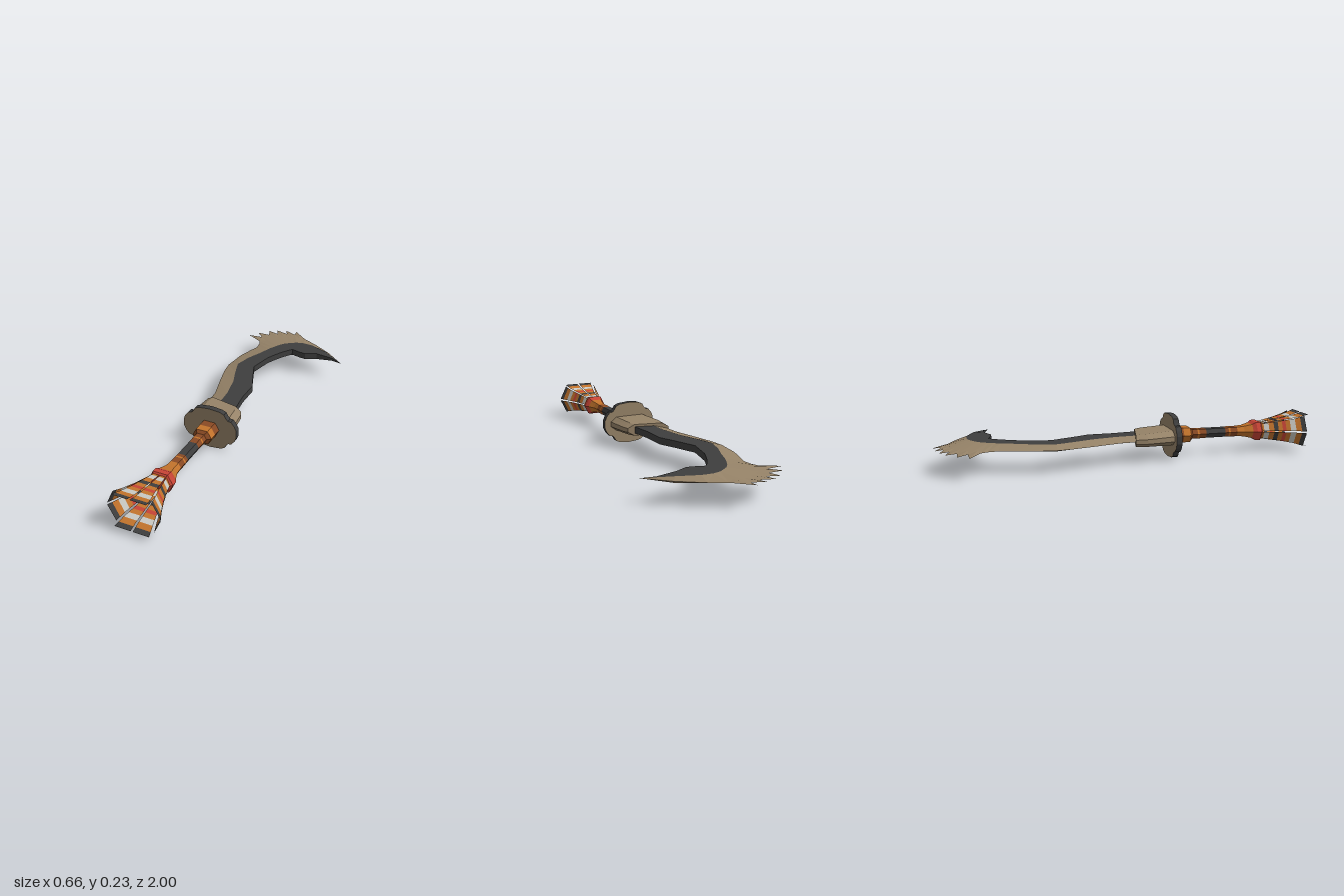
import * as THREE from 'three';

const mat = (name, color, extra = {}) => {
  const m = new THREE.MeshStandardMaterial({ color, flatShading: true, ...extra });
  m.name = name;
  return m;
};

// Closed solid through matching rings of [x, y, z] points, wound outward by its signed volume
function loft(rings) {
  const tris = [], n = rings[0].length;
  for (let i = 0; i + 1 < rings.length; i++) {
    for (let j = 0; j < n; j++) {
      const k = (j + 1) % n, a = rings[i], b = rings[i + 1];
      tris.push([a[j], a[k], b[k]], [a[j], b[k], b[j]]);
    }
  }
  const first = rings[0], last = rings[rings.length - 1];
  for (let j = 1; j + 1 < n; j++) {
    tris.push([first[0], first[j + 1], first[j]], [last[0], last[j], last[j + 1]]);
  }
  const o = new THREE.Vector3(...first[0]);
  const rel = (p) => new THREE.Vector3(...p).sub(o);
  let volume = 0;
  for (const [a, b, c] of tris) volume += rel(a).dot(rel(b).cross(rel(c)));
  return fromTriangles(volume < 0 ? tris.map(([a, b, c]) => [a, c, b]) : tris);
}

function fromTriangles(tris) {
  const g = new THREE.BufferGeometry();
  g.setAttribute('position', new THREE.Float32BufferAttribute(tris.flat(2), 3));
  g.computeVertexNormals();
  return g;
}

const mix = (a, b, t) => a.map((v, i) => v + (b[i] - v) * t);

export function createModel() {
  const bone = mat('bone', 0x968368);
  const dark = mat('charcoal', 0x3e3e3e);
  const brown = mat('brown', 0x8a4a24);
  const orange = mat('orange', 0xc4742c);
  const red = mat('red', 0xc84536);
  const sheet = { side: THREE.DoubleSide };
  const cloth = {
    orange: mat('orange cloth', 0xc4742c, sheet), white: mat('white cloth', 0xcacac4, sheet),
    dark: mat('charcoal cloth', 0x3e3e3e, sheet), red: mat('red cloth', 0xc84536, sheet),
  };

  const model = new THREE.Group();
  model.position.y = 0.116;
  const add = (parent, name, geometry, material) => {
    const mesh = new THREE.Mesh(geometry, material);
    mesh.name = name;
    parent.add(mesh);
  };

  // Blade ribs: inner edge x z, colour border x z, spine x z
  const ribs = [
    [-.01, .1, -.115, .1, -.185, .1], [-.03, -.08, -.125, -.08, -.2, -.08],
    [-.03, -.21, -.15, -.21, -.235, -.21], [-.065, -.29, -.185, -.31, -.265, -.33],
    [-.115, -.42, -.215, -.41, -.275, -.41], [-.085, -.555, -.19, -.51, -.26, -.545],
    [-.065, -.6, -.15, -.6, -.235, -.63], [-.04, -.65, -.125, -.67, -.215, -.69],
    [-.015, -.69, -.11, -.7, -.22, -.74], [0, -.71, -.095, -.73, -.235, -.775],
    [.01, -.72, -.08, -.755, -.245, -.835], [.02, -.72, -.06, -.78, -.215, -.885],
    [.03, -.715, -.045, -.79, -.17, -.92], [.05, -.71, -.025, -.805, -.115, -.945],
    [.07, -.705, 0, -.82, -.065, -.955], [.1, -.7, .04, -.83, .02, -.92],
    [.165, -.73, .1, -.825, .1, -.88], [.265, -.73, .2, -.785, .22, -.8],
    [.33, -.7, .33, -.7, .33, -.7],
  ];
  const half = (x) => 0.018 * Math.min(1, Math.max(0, (0.33 - x) / 0.15));
  const blade = new THREE.Group();
  blade.name = 'blade';
  model.add(blade);
  add(blade, 'bladeCore', loft(ribs.map(([ix, iz, mx, mz]) => [
    [ix, half(ix), iz], [mx, half(mx), mz], [mx, -half(mx), mz], [ix, -half(ix), iz]])), dark);
  add(blade, 'bladeSpine', loft(ribs.map(([, , mx, mz, ox, oz]) => [
    [mx, half(mx), mz], [ox, 0, oz], [mx, -half(mx), mz]])), bone);

  // Swept teeth on the spine, one between each pair of neighbouring ribs
  const tips = [[-.33, -.83], [-.29, -.885], [-.235, -.94], [-.19, -.967], [-.135, -.987], [-.07, -1]];
  tips.forEach(([tx, tz], i) => {
    const p = ribs[9 + i], q = ribs[10 + i];
    const a = [p[4], 0, p[5]], b = [q[4], 0, q[5]];
    const c = mix(mix(a, b, 0.5), [(p[2] + q[2]) / 2, 0, (p[3] + q[3]) / 2], 0.3);
    const base = [a, [c[0], 0.006, c[2]], b, [c[0], -0.006, c[2]]];
    add(blade, 'spineTooth', loft([base, base.map(() => [tx, 0, tz])]), bone);
  });

  // Sleeve holding the blade root, with a slanted mouth
  const sleeve = (x0, x1, zl, zr, h) => {
    const bevel = 0.035;
    return [[x0, .35], [x0 + bevel, 1], [x1 - bevel, 1], [x1, .35],
      [x1, -.35], [x1 - bevel, -1], [x0 + bevel, -1], [x0, -.35]]
      .map(([x, y]) => [x, y * h, zl + (zr - zl) * (x - x0) / (x1 - x0)]);
  };
  add(model, 'sleeve', loft([sleeve(-.2, .022, .005, .055, .031),
    sleeve(-.205, .034, .07, .085, .034), sleeve(-.18, .05, .225, .225, .039)]), bone);

  // Lobed guard plate with a dark rim
  const hilt = new THREE.Group();
  hilt.name = 'hilt';
  hilt.position.x = -0.065;
  model.add(hilt);
  const quarter = [[.15, .02], [.139, .045], [.121, .067], [.104, .069], [.093, .08], [.082, .1], [.059, .11], [0, .116]];
  const right = [...quarter, ...quarter.slice(0, -1).reverse().map(([x, y]) => [-x, y])];
  const outline = [...right, ...right.map(([x, y]) => [-x, -y])];
  const guard = new THREE.ExtrudeGeometry(
    new THREE.Shape(outline.map(([x, y]) => new THREE.Vector2(x, y))), { depth: 0.03, bevelEnabled: false });
  guard.translate(0, 0, 0.22);
  add(hilt, 'guard', guard, [bone, dark]);

  // Six-sided handle: each step is z, half width, half height, then the material up to the next step
  const hex = (z, w, h) => [[w, 0], [.6 * w, h], [-.6 * w, h], [-w, 0], [-.6 * w, -h], [.6 * w, -h]]
    .map(([x, y]) => [x, y, z]);
  const steps = [
    [.25, .053, .04, brown], [.295, .053, .04, orange], [.335, .053, .038, brown],
    [.35, .033, .025, brown], [.38, .033, .025, orange], [.39, .033, .025, brown],
    [.43, .032, .024, dark], [.54, .032, .024, brown], [.56, .033, .025, orange],
    [.57, .033, .025, brown], [.61, .033, .025, orange], [.65, .036, .028, orange],
    [.695, .053, .038, red], [.715, .064, .05, red], [.74, .064, .05, red], [.752, .05, .036, null],
  ];
  for (let i = 0; i + 1 < steps.length; i++) {
    const [z0, w0, h0, m] = steps[i], [z1, w1, h1] = steps[i + 1];
    add(hilt, m === red ? 'pommelRing' : 'grip', loft([hex(z0, w0, h0), hex(z1, w1, h1)]), m);
  }

  // Flared skirt of eight striped cloth panels: z, side corner x, top corner x, half height
  const flare = [[.745, .053, .034, .042], [.8, .065, .045, .05], [.87, .085, .059, .06], [.945, .113, .08, .073], [1, .138, .094, .089]];
  const flareAt = (z) => {
    let i = 0;
    while (i < flare.length - 2 && z > flare[i + 1][0]) i++;
    const t = (z - flare[i][0]) / (flare[i + 1][0] - flare[i][0]);
    return mix(flare[i], flare[i + 1], t);
  };
  const stripes = [[.745, 'orange'], [.76, 'white'], [.79, 'orange'], [.82, 'dark'], [.845, 'orange'],
    [.87, 'red'], [.89, 'orange'], [.915, 'white'], [.945, 'orange'], [.975, 'dark'], [1, null]];
  for (const side of [true, false]) {
    // Side panels end a little shorter than the top and bottom ones
    const shrink = side ? 0.89 : 1;
    const edge = (z, sx, sy) => {
      const [, w, c, h] = flareAt(z);
      const a = side ? [w, 0] : [c, h], b = side ? [c, h] : [0, h];
      return [0.06, 0.94].map((t) => {
        const [x, y] = mix(a, b, t);
        return [x * sx, y * sy, 0.745 + (z - 0.745) * shrink];
      });
    };
    for (const sx of [1, -1]) for (const sy of [1, -1]) {
      for (let i = 0; i + 1 < stripes.length; i++) {
        const [a, b] = edge(stripes[i][0], sx, sy), [d, c] = edge(stripes[i + 1][0], sx, sy);
        const tris = sx * sy > 0 ? [[a, b, c], [a, c, d]] : [[a, c, b], [a, d, c]];
        // Wound so the front lies on the outside of the skirt
        add(hilt, 'skirtPanel', fromTriangles(tris.map(([p, q, r]) => [p, r, q])), cloth[stripes[i][1]]);
      }
    }
  }

  const root = new THREE.Group();
  root.name = 'curvedBlade';
  root.add(model);
  return root;
}
